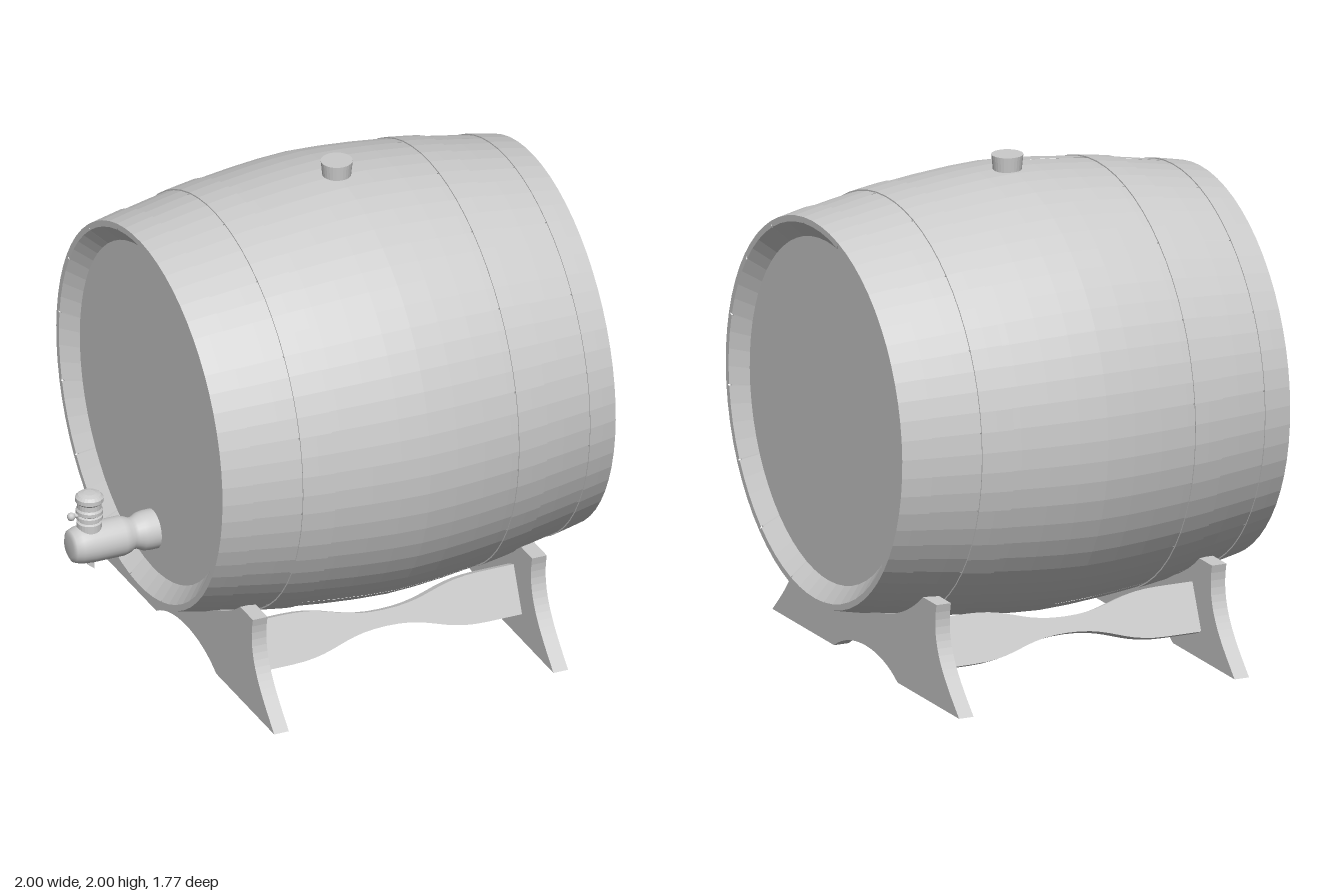
import * as THREE from 'three';

const AXIS_Y = 1.055, MID = 0.155, HALF = 0.845;
const flat = new THREE.MeshStandardMaterial({ color: 0xcccccc, flatShading: true });
const smooth = new THREE.MeshStandardMaterial({ color: 0xcccccc });
const V = (x, y) => new THREE.Vector2(x, y);

function add(parent, name, geometry, material = flat) {
  const mesh = new THREE.Mesh(geometry, material);
  mesh.name = name;
  parent.add(mesh);
  return mesh;
}

// Bulging barrel radius at a position along its length
const radius = x => 0.775 + 0.112 * (1 - Math.pow(Math.min(1, Math.abs(x - MID) / HALF), 1.6));

function bulge(x0, x1, n, offset) {
  return Array.from({ length: n + 1 }, (_, i) => {
    const x = x0 + (x1 - x0) * i / n;
    return V(radius(x) + offset, x);
  });
}

// Lathe whose axis lies along x
const latheX = (points, segments, start = 0, length = Math.PI * 2) =>
  new THREE.LatheGeometry(points, segments, start, length).rotateZ(-Math.PI / 2);

function makeBarrel() {
  const barrel = new THREE.Group();
  barrel.name = 'barrel';
  barrel.position.y = AXIS_Y;
  const seam = THREE.MathUtils.degToRad(-83.2), step = Math.PI / 8, gap = 0.007;

  // Inner body with both recessed heads
  add(barrel, 'headsAndCore', latheX([
    V(0, -0.63), V(0.69, -0.63), V(0.755, -0.68),
    ...bulge(-0.68, 0.99, 14, -0.012),
    V(0.755, 0.99), V(0.69, 0.94), V(0, 0.94),
  ], 64, seam));

  // Sixteen staves with bevelled rims and thin seams
  const profile = [V(0.69, -0.63), V(0.755, -0.69), ...bulge(-0.69, 1, 14, 0), V(0.755, 1), V(0.69, 0.94)];
  for (let i = 0; i < 16; i++)
    add(barrel, 'stave', latheX(profile, 4, seam + i * step + gap / 2, step - gap));

  // Hoops, mirrored about the middle
  for (const [x0, x1] of [[-0.69, -0.57], [-0.37, -0.24], [0.55, 0.68], [0.88, 1]])
    add(barrel, 'hoop', latheX([V(radius(x0) - 0.01, x0), ...bulge(x0, x1, 2, 0.005), V(radius(x1) - 0.01, x1)], 64, seam));
  return barrel;
}

// Saddle-shaped end plate of the stand
function makeLeg() {
  const s = new THREE.Shape(), r = 0.82, y = 0.41;
  const a = Math.asin((AXIS_Y - y) / r), z = r * Math.cos(a);
  s.moveTo(0.28, 0);
  s.lineTo(0.825, 0);
  s.bezierCurveTo(0.7, 0.12, 0.575, 0.23, 0.625, y);
  s.lineTo(z, y);
  s.absarc(0, AXIS_Y, r, -a, -Math.PI + a, true);
  s.lineTo(-0.625, y);
  s.bezierCurveTo(-0.575, 0.23, -0.7, 0.12, -0.825, 0);
  s.lineTo(-0.28, 0);
  s.bezierCurveTo(-0.13, 0.1, 0.13, 0.1, 0.28, 0);
  return new THREE.ExtrudeGeometry(s, { depth: 0.063, bevelEnabled: false, curveSegments: 16 })
    .translate(0, 0, -0.0315).rotateY(Math.PI / 2);
}

// Waisted board joining the two end plates
function makeStretcher() {
  const s = new THREE.Shape(), w = 0.575, wave = 0.42;
  s.moveTo(-w, 0);
  s.lineTo(-wave, 0);
  s.bezierCurveTo(-0.22, 0, -0.2, 0.07, 0, 0.07);
  s.bezierCurveTo(0.2, 0.07, 0.22, 0, wave, 0);
  s.lineTo(w, 0);
  s.lineTo(w, 0.2);
  s.lineTo(wave, 0.2);
  s.bezierCurveTo(0.22, 0.2, 0.2, 0.135, 0, 0.135);
  s.bezierCurveTo(-0.2, 0.135, -0.22, 0.2, -wave, 0.2);
  s.lineTo(-w, 0.2);
  return new THREE.ExtrudeGeometry(s, { depth: 0.05, bevelEnabled: false, curveSegments: 10 })
    .translate(0, 0, -0.05).rotateX(-0.4);
}

function makeStand() {
  const stand = new THREE.Group();
  stand.name = 'stand';
  const leg = makeLeg(), board = makeStretcher();
  for (const x of [-0.457, 0.743]) add(stand, 'endPlate', leg).position.x = x;
  for (const side of [0, 1]) {
    const holder = new THREE.Group();
    holder.name = 'stretcherSide';
    holder.position.x = 0.143;
    holder.rotation.y = side * Math.PI;
    add(holder, 'stretcher', board).position.set(0, 0.115, 0.53);
    stand.add(holder);
  }
  return stand;
}

function makeTap() {
  const tap = new THREE.Group();
  tap.name = 'tap';
  tap.position.set(-0.905, 0.54, 0);
  // Horizontal body, waisted where it enters the barrel head
  add(tap, 'tapBody', latheX([
    V(0, -0.088), V(0.045, -0.088), V(0.065, -0.078), V(0.075, -0.05), V(0.08, 0), V(0.08, 0.13),
    V(0.074, 0.155), V(0.064, 0.175), V(0.064, 0.19), V(0.076, 0.215), V(0.08, 0.24), V(0.08, 0.3),
  ], 28), smooth);
  // Turning handle with collars and a domed cap
  add(tap, 'tapHandle', new THREE.LatheGeometry([
    V(0.05, 0.04), V(0.05, 0.095), V(0.042, 0.1), V(0.042, 0.108), V(0.053, 0.112), V(0.053, 0.125),
    V(0.046, 0.13), V(0.054, 0.136), V(0.054, 0.15), V(0.048, 0.158), V(0.048, 0.18), V(0.056, 0.188),
    V(0.056, 0.205), V(0.045, 0.216), V(0.024, 0.222), V(0, 0.223),
  ], 24));
  // Side pin with a small knob
  add(tap, 'handlePin', new THREE.CylinderGeometry(0.009, 0.009, 0.07, 10).rotateZ(Math.PI / 2), smooth)
    .position.set(-0.05, 0.132, 0);
  add(tap, 'handleKnob', new THREE.SphereGeometry(0.017, 12, 8), smooth).position.set(-0.078, 0.132, 0);
  // Slanted spout tip
  const tip = new THREE.Shape([V(-0.012, -0.06), V(-0.012, -0.09), V(0.015, -0.112), V(0.015, -0.06)]);
  add(tap, 'spout', new THREE.ExtrudeGeometry(tip, { depth: 0.03, bevelEnabled: false }).translate(0, 0, -0.015));
  return tap;
}

export function createModel() {
  const model = new THREE.Group();
  model.name = 'barrelOnStand';
  model.add(makeBarrel(), makeStand(), makeTap());
  // Bung in the top of the barrel
  add(model, 'bung', new THREE.CylinderGeometry(0.063, 0.054, 0.09, 28)).position.set(0.158, 1.955, 0);
  return model;
}
